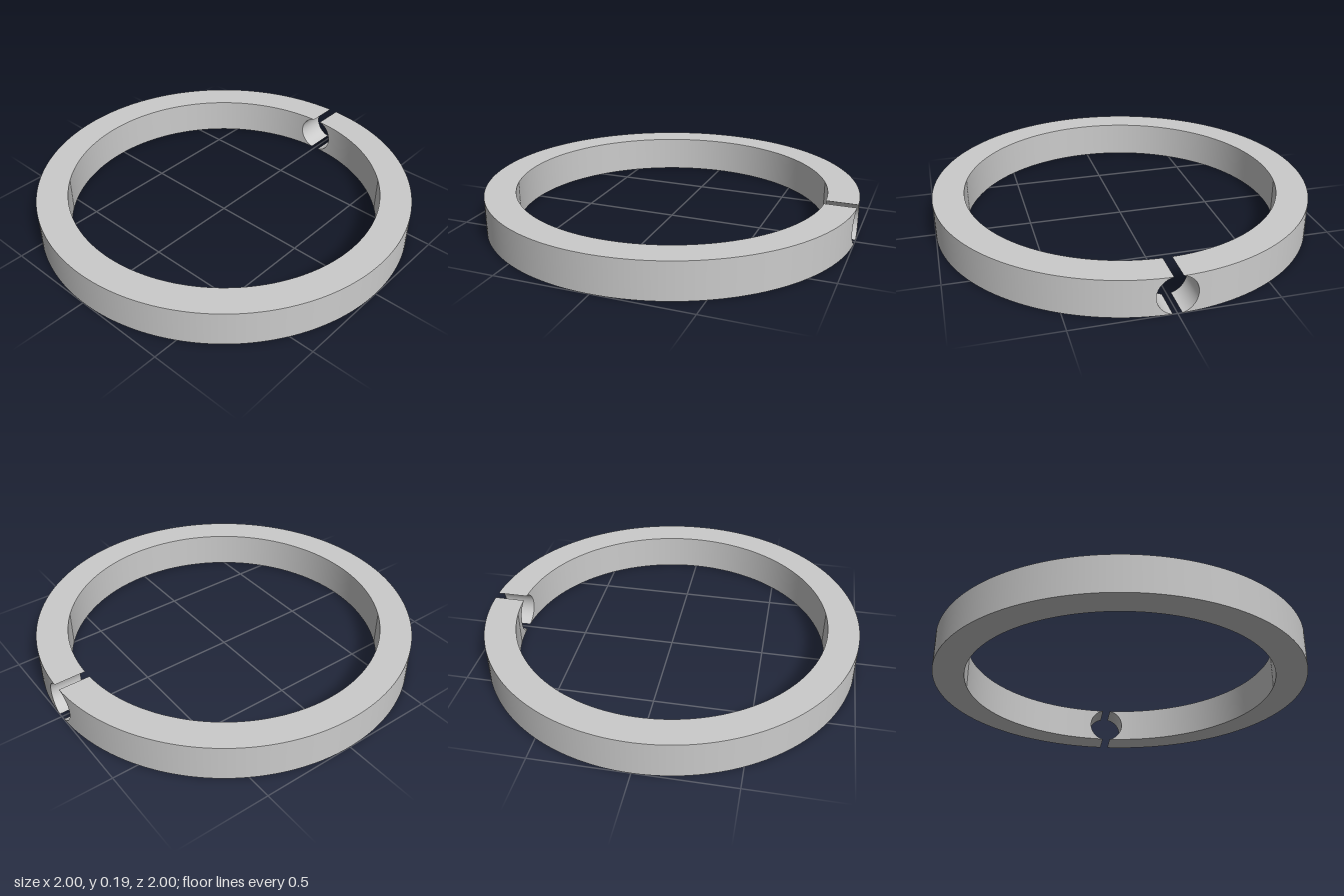
import * as THREE from 'three';
import { ParametricGeometry } from 'three/addons/geometries/ParametricGeometry.js';

const OUTER = 1, INNER = 0.835, HEIGHT = 0.193;
const BORE = 0.099; // slightly taller than the ring, so it opens a slot above and below
const PHI = Math.asin(HEIGHT / 2 / BORE);
const { lerp } = THREE.MathUtils;

export function createModel() {
  const group = new THREE.Group();
  group.name = 'splitRing';
  const material = new THREE.MeshStandardMaterial({ color: 0xcccccc });

  const addSurface = (name, nu, nv, f) => {
    const mesh = new THREE.Mesh(new ParametricGeometry(f, nu, nv), material);
    mesh.name = name;
    group.add(mesh);
  };

  // Sweep a section edge round the ring, from one side of the bore to the other.
  // phi is the height expressed as an angle on the bore circle.
  const addSweep = (name, rows, r0, r1, phi0, phi1) =>
    addSurface(name, 192, rows, (u, v, target) => {
      const r = lerp(r0, r1, v), phi = lerp(phi0, phi1, v);
      const start = Math.asin(BORE * Math.cos(phi) / r);
      const a = lerp(start, Math.PI * 2 - start, u);
      target.set(r * Math.cos(a), HEIGHT / 2 + BORE * Math.sin(phi), -r * Math.sin(a));
    });

  addSweep('outerWall', 24, OUTER, OUTER, -PHI, PHI);
  addSweep('topFace', 1, OUTER, INNER, PHI, PHI);
  addSweep('innerWall', 24, INNER, INNER, PHI, -PHI);
  addSweep('bottomFace', 1, INNER, OUTER, -PHI, -PHI);

  // Two concave halves of the radial bore
  for (const side of [1, -1]) {
    addSurface(side > 0 ? 'boreFront' : 'boreBack', 24, 1, (u, v, target) => {
      const phi = lerp(-PHI, PHI, u);
      const r = side > 0 ? lerp(INNER, OUTER, v) : lerp(OUTER, INNER, v);
      const z = BORE * Math.cos(phi);
      target.set(Math.sqrt(r * r - z * z), HEIGHT / 2 + BORE * Math.sin(phi), side * z);
    });
  }
  return group;
}
